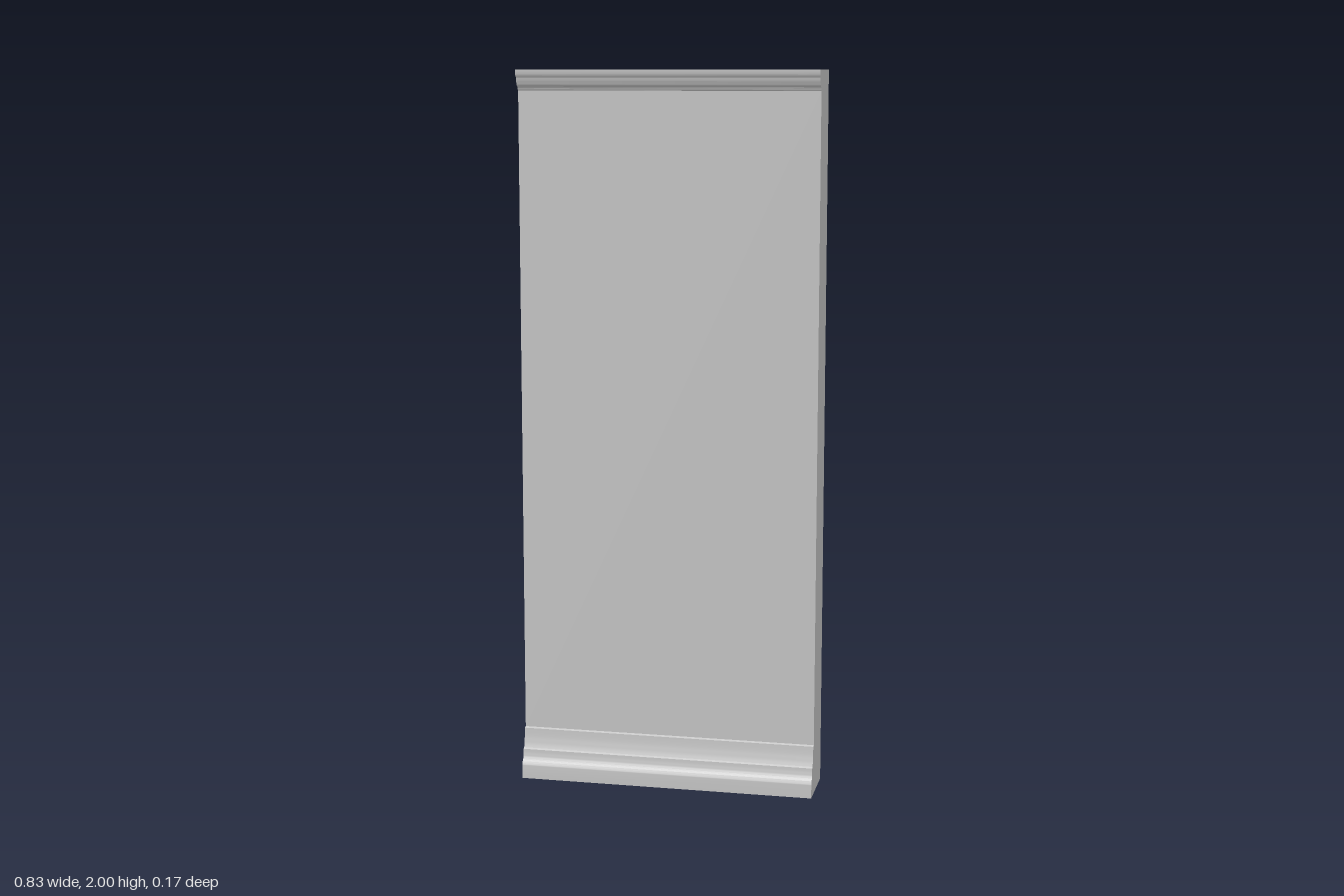
import * as THREE from 'three';
import { toCreasedNormals } from 'three/addons/utils/BufferGeometryUtils.js';

const HALF = 0.417;   // half width
const BACK = -0.0875; // rear edge of the side panels
const FACE = 0.048;   // plane of the flat panel

// Front profile as (z, y), from the top edge down to the floor
function profilePoints() {
  const p = new THREE.Path();
  // crown moulding
  p.moveTo(0.075, 2);
  p.lineTo(0.075, 1.988);
  p.quadraticCurveTo(0.074, 1.98, 0.068, 1.979);
  p.lineTo(0.067, 1.975);
  p.quadraticCurveTo(0.066, 1.957, 0.054, 1.954);
  p.lineTo(0.052, 1.95);
  p.quadraticCurveTo(0.052, 1.945, FACE, 1.944);
  // flat panel
  p.lineTo(FACE, 0.142);
  // skirting board
  p.lineTo(0.057, 0.14);
  p.quadraticCurveTo(0.059, 0.105, 0.067, 0.085);
  p.lineTo(0.073, 0.082);
  p.quadraticCurveTo(0.074, 0.06, 0.08, 0.052);
  p.quadraticCurveTo(0.087, 0.048, 0.0875, 0.038);
  p.lineTo(0.0875, 0);
  return p.getPoints(6);
}

export function createModel() {
  const group = new THREE.Group();
  group.name = 'wallPanel';
  const material = new THREE.MeshStandardMaterial({ color: 0xcccccc, side: THREE.DoubleSide });
  const profile = profilePoints();

  // Moulded front: a plane whose rows follow the profile
  const plane = new THREE.PlaneGeometry(HALF * 2, 2, 1, profile.length - 1);
  const pos = plane.attributes.position;
  for (let i = 0; i < pos.count; i++) {
    const q = profile[Math.floor(i / 2)];
    pos.setY(i, q.y);
    pos.setZ(i, q.x);
  }
  const front = new THREE.Mesh(toCreasedNormals(plane, 0.5), material);
  front.name = 'mouldedFront';
  group.add(front);

  // Thin side panels; top, back and bottom stay open
  const outline = new THREE.Shape([
    ...profile, new THREE.Vector2(BACK, 0), new THREE.Vector2(BACK, 2),
  ]);
  const side = new THREE.ShapeGeometry(outline).rotateY(-Math.PI / 2);
  for (const s of [-1, 1]) {
    const panel = new THREE.Mesh(side, material);
    panel.name = s > 0 ? 'leftSidePanel' : 'rightSidePanel';
    panel.position.x = s * HALF;
    panel.scale.x = -s;
    group.add(panel);
  }
  return group;
}
